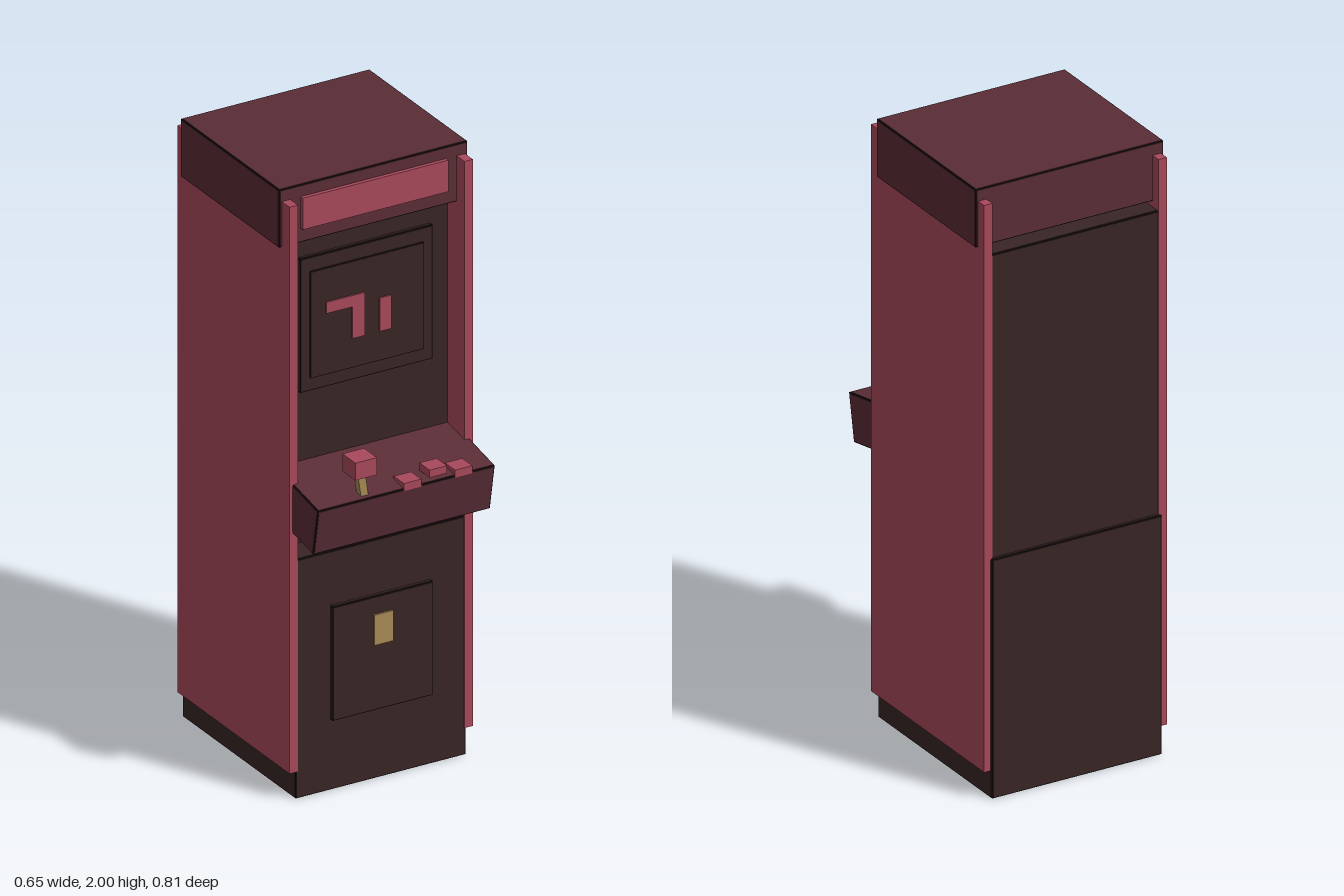
import * as THREE from 'three';

const mat = (name, color) => {
  const m = new THREE.MeshStandardMaterial({ color });
  m.name = name;
  return m;
};

export function createModel() {
  const model = new THREE.Group();
  model.name = 'arcadeCabinet';

  const rose = mat('rose', 0xa8495b);
  const maroon = mat('maroon', 0x5a2d36);
  const darkBrown = mat('darkBrown', 0x382524);
  const edgeBlack = mat('edgeBlack', 0x1a1013);
  const brass = mat('brass', 0xa88b55);

  // Plain box given by its extents on each axis
  function box(name, material, [x0, x1], [y0, y1], [z0, z1], parent = model) {
    const mesh = new THREE.Mesh(new THREE.BoxGeometry(x1 - x0, y1 - y0, z1 - z0), material);
    mesh.position.set((x0 + x1) / 2, (y0 + y1) / 2, (z0 + z1) / 2);
    mesh.name = name;
    parent.add(mesh);
    return mesh;
  }

  // Box with thin dark edges: three crossed blocks over a slightly smaller dark core
  function edgedBox(name, material, xs, ys, zs, e = 0.005) {
    const group = new THREE.Group();
    group.name = name;
    const size = [xs, ys, zs].map(([a, b]) => b - a);
    group.position.set((xs[0] + xs[1]) / 2, (ys[0] + ys[1]) / 2, (zs[0] + zs[1]) / 2);
    for (let axis = 0; axis < 3; axis++) {
      const s = size.map((v, i) => (i === axis ? v : v - 2 * e));
      const face = new THREE.Mesh(new THREE.BoxGeometry(...s), material);
      face.name = name + 'Faces';
      group.add(face);
    }
    const core = new THREE.Mesh(new THREE.BoxGeometry(...size.map((v) => v - 0.6 * e)), edgeBlack);
    core.name = name + 'Edges';
    group.add(core);
    model.add(group);
    return group;
  }

  // Cabinet body: full-depth base, recessed upper half
  edgedBox('lowerCabinet', darkBrown, [-0.295, 0.295], [0, 0.79], [-0.405, 0.25]);
  edgedBox('upperCabinet', darkBrown, [-0.293, 0.293], [0.78, 1.79], [-0.393, 0.155]);

  // Side panels
  for (const s of [-1, 1]) {
    const xs = s > 0 ? [0.288, 0.317] : [-0.317, -0.288];
    box(s > 0 ? 'leftSidePanel' : 'rightSidePanel', rose, xs, [0.09, 1.96], [-0.396, 0.252]);
  }

  // Roof box with marquee
  edgedBox('roof', maroon, [-0.327, 0.327], [1.808, 2], [-0.362, 0.207]);
  box('marquee', rose, [-0.252, 0.252], [1.856, 1.96], [0.19, 0.22]);

  // Screen bezel, screen and the shapes shown on it
  edgedBox('screenBezel', darkBrown, [-0.23, 0.23], [1.288, 1.732], [0.14, 0.168]);
  edgedBox('screen', darkBrown, [-0.197, 0.197], [1.33, 1.685], [0.15, 0.173], 0.004);
  const shapes = [
    [[-0.145, -0.012], [1.535, 1.572]],
    [[-0.055, -0.012], [1.43, 1.535]],
    [[0.04, 0.08], [1.43, 1.54]],
  ];
  for (const [xs, ys] of shapes) box('screenShape', rose, xs, ys, [0.17, 0.178]);

  // Tilted control deck
  const deck = edgedBox('controlDeck', maroon, [-0.307, 0.307], [0.882, 1.04], [0.117, 0.387]);
  deck.rotation.x = THREE.MathUtils.degToRad(10.5);

  // Buttons
  for (const [x, y] of [[0.02, 1.008], [0.109, 1.03], [0.197, 1.008]]) {
    box('button', rose, [x - 0.03, x + 0.03], [y, y + 0.025], [0.341, 0.4]);
  }

  // Joystick
  const shaft = box('joystickShaft', brass, [-0.153, -0.128], [1.01, 1.1], [0.356, 0.382]);
  shaft.rotation.z = 0.15;
  box('joystickKnob', rose, [-0.181, -0.106], [1.088, 1.145], [0.33, 0.405]);

  // Service door with coin plate
  edgedBox('serviceDoor', darkBrown, [-0.175, 0.173], [0.232, 0.61], [0.235, 0.264]);
  box('coinPlate', brass, [-0.034, 0.031], [0.45, 0.55], [0.25, 0.27]);

  return model;
}
